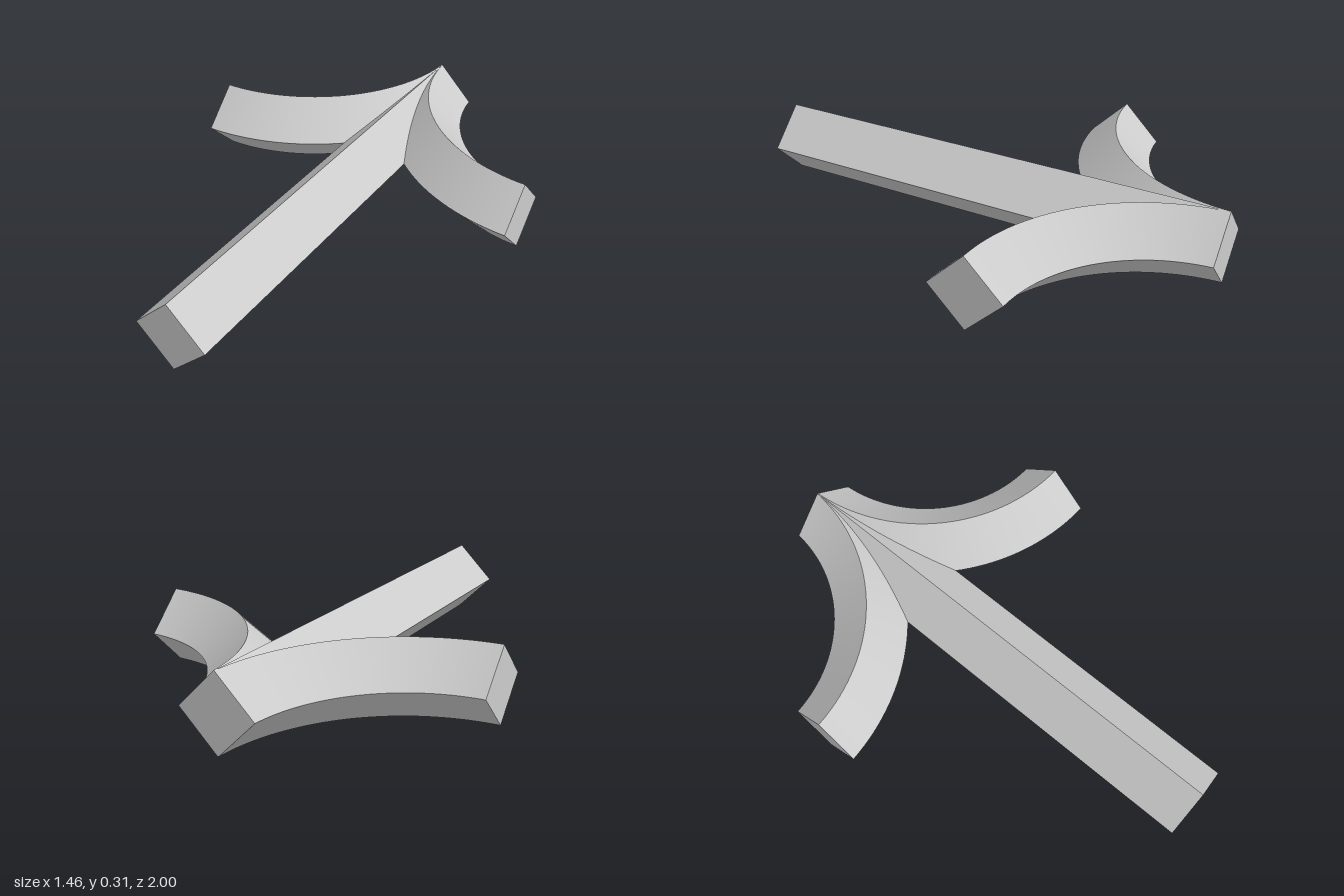
import * as THREE from 'three';

const H = 0.154;            // half diagonal of the square section
const R = 0.75;             // bend radius of the arms
const CX = 0.75, CZ = -1.05; // bend centre
const BACK = -1, REACH = 0.73; // planes where the arms are cut off
const SEGMENTS = 40;

const material = new THREE.MeshStandardMaterial({ color: 0xcccccc });

// Curved diamond-section arm; side is +1 (left) or -1 (right)
function armGeometry(side) {
  const corners = [[R + H, H], [R, 2 * H], [R - H, H], [R, 0]];
  const positions = [], index = [];

  // Each corner follows its own arc, so both ends finish flat on the cut planes
  const point = (c, t) => {
    const [r, y] = corners[c % 4];
    const a0 = Math.asin((BACK - CZ) / r);
    const a1 = Math.acos((CX - REACH) / r);
    const a = a0 + (a1 - a0) * t;
    return [side * (CX - r * Math.cos(a)), y, CZ + r * Math.sin(a)];
  };
  const tri = (a, b, c) => (side > 0 ? index.push(a, b, c) : index.push(a, c, b));

  // Four long faces, smooth along the bend and sharp at the corners
  for (let c = 0; c < 4; c++) {
    const base = positions.length / 3;
    for (let i = 0; i <= SEGMENTS; i++) {
      positions.push(...point(c, i / SEGMENTS), ...point(c + 1, i / SEGMENTS));
      if (i === SEGMENTS) break;
      const k = base + i * 2;
      tri(k, k + 2, k + 1);
      tri(k + 1, k + 2, k + 3);
    }
  }

  // End caps
  for (const t of [0, 1]) {
    const b = positions.length / 3;
    for (let c = 0; c < 4; c++) positions.push(...point(c, t));
    if (t === 0) { tri(b, b + 1, b + 2); tri(b, b + 2, b + 3); }
    else { tri(b, b + 2, b + 1); tri(b, b + 3, b + 2); }
  }

  const geometry = new THREE.BufferGeometry();
  geometry.setAttribute('position', new THREE.Float32BufferAttribute(positions, 3));
  geometry.setIndex(index);
  geometry.computeVertexNormals();
  return geometry;
}

export function createModel() {
  const model = new THREE.Group();
  model.name = 'forkedBar';

  // Straight square bar standing on its edge
  const width = H * Math.SQRT2;
  const bar = new THREE.Mesh(new THREE.BoxGeometry(width, width, 2), material);
  bar.name = 'straightBar';
  bar.rotation.z = Math.PI / 4;
  bar.position.y = H;
  model.add(bar);

  // Mirrored curved arms branching from the back end
  for (const side of [1, -1]) {
    const arm = new THREE.Mesh(armGeometry(side), material);
    arm.name = side > 0 ? 'leftCurvedArm' : 'rightCurvedArm';
    model.add(arm);
  }
  return model;
}
